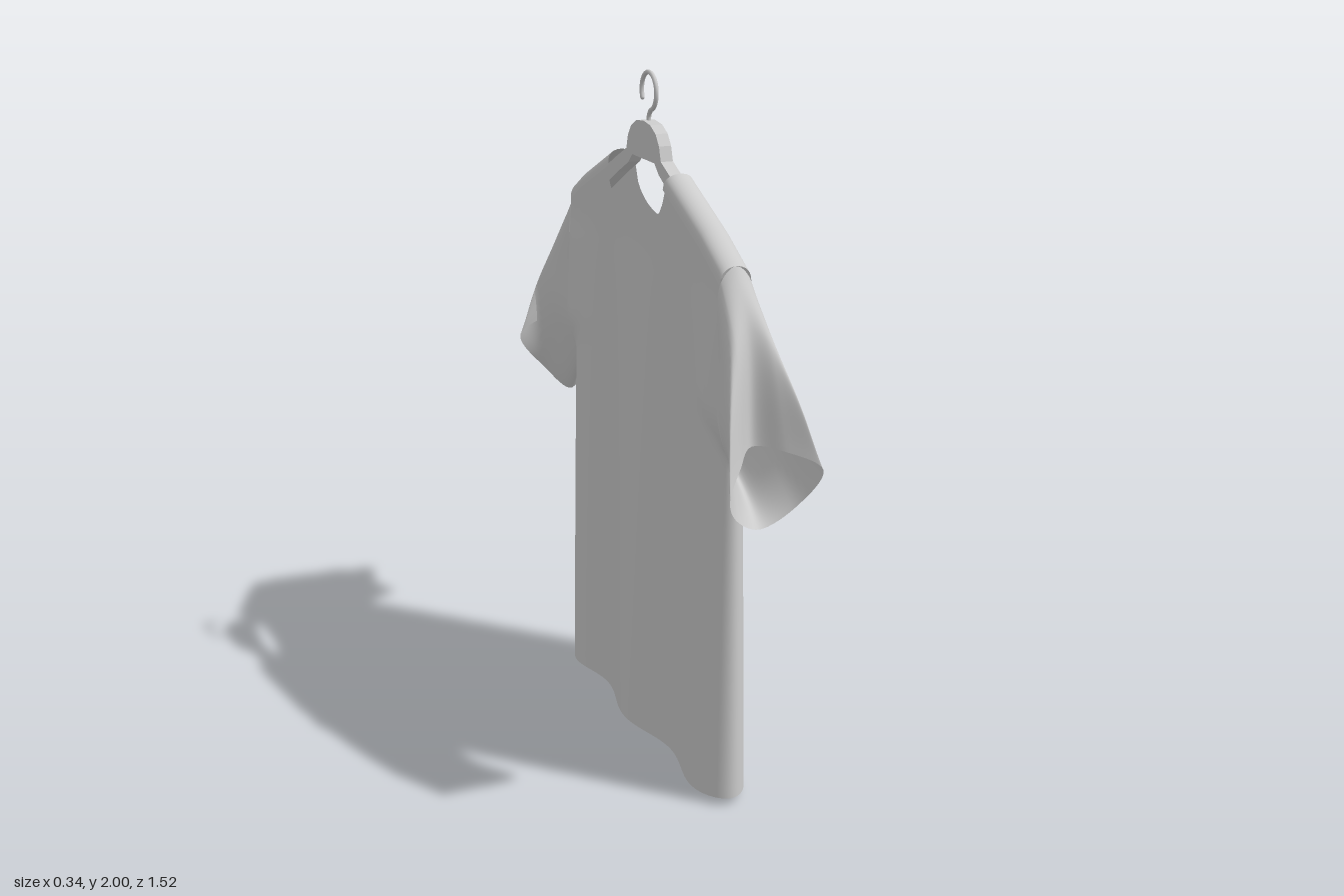
import * as THREE from 'three';
import { mergeGeometries, mergeVertices } from 'three/addons/utils/BufferGeometryUtils.js';

const { lerp, smoothstep, clamp } = THREE.MathUtils;
const ZC = -0.035;          // centre of neck and hanger
const MID = -0.015, HALF = 0.545; // centre and half width of the body
const ARMPIT = 1.04, ROLL = 0.05, NECK = 0.205;

const cloth = new THREE.MeshStandardMaterial({ color: 0xcccccc, side: THREE.DoubleSide });
const solid = new THREE.MeshStandardMaterial({ color: 0xcccccc });

// Surface from a rule fn(u, v) -> [x, y, z]
function grid(nu, nv, fn) {
  const pos = [], idx = [];
  for (let j = 0; j <= nv; j++)
    for (let i = 0; i <= nu; i++) pos.push(...fn(i / nu, j / nv));
  for (let j = 0; j < nv; j++)
    for (let i = 0; i < nu; i++) {
      const a = j * (nu + 1) + i, b = a + 1, c = a + nu + 1, d = c + 1;
      idx.push(a, b, d, a, d, c);
    }
  const g = new THREE.BufferGeometry();
  g.setAttribute('position', new THREE.Float32BufferAttribute(pos, 3));
  g.setIndex(idx);
  return g;
}

function smooth(geometry) {
  const g = mergeVertices(geometry, 1e-4);
  g.computeVertexNormals();
  return g;
}

function add(group, name, geometry, material) {
  const m = new THREE.Mesh(geometry, material);
  m.name = name;
  group.add(m);
}

// Shoulder ridge, falling away from the neck
function shoulderY(z) {
  const d = Math.abs(z - ZC);
  return d < 0.435 ? lerp(1.75, 1.65, (d - 0.215) / 0.22) : lerp(1.65, 1.585, (d - 0.435) / 0.115);
}

// Upper edge of the front and back panels, with the neckline scooped out
function panelTop(z) {
  const r = Math.abs(z - ZC) / NECK;
  if (r >= 1) return shoulderY(z) - ROLL;
  return 1.585 + 0.117 * (1 - Math.sqrt(1 - r * r));
}

// Front and back panels: slim at the shoulders, wavy at the hem
function panel(side) {
  return grid(96, 44, (u, v) => {
    const q = -side * Math.cos(Math.PI * u);
    const z0 = MID + HALF * q;
    const hem = 0.01 + 0.012 * q;
    const y = lerp(hem, panelTop(z0), v);
    const f = Math.pow(clamp((1.5 - y) / 1.5, 0, 1), 0.7);
    const wave = 0.064 + 0.022 * Math.cos(2 * Math.PI * (z0 + 0.03) / 0.48);
    const open = Math.sqrt(clamp((y - ARMPIT) / 0.14, 0, 1));
    const round = Math.sqrt(Math.max(1 - Math.pow(Math.abs(q), 8), open * open));
    const x = 0.035 * z0 * f + side * lerp(0.044, wave, f) * round;
    const z = z0 + (q < 0 ? 0.015 * f * q * q * (1 - v) : 0);
    return [x, y, z];
  });
}

// Rounded strip of cloth lying over one hanger arm
function shoulderRoll(dir) {
  const end = MID + dir * HALF;
  return grid(24, 14, (u, v) => {
    const a = Math.PI * v;
    const z = lerp(ZC + dir * (NECK - 0.006 + 0.015 * Math.sin(a)), end, u);
    return [0.044 * Math.cos(a), shoulderY(z) - ROLL + ROLL * Math.pow(Math.sin(a), 0.7), z];
  });
}

// Sleeve skinned through closed rings, from armhole to cuff
function sleeve(rings) {
  const loops = rings.map(r =>
    new THREE.CatmullRomCurve3(r.map(p => new THREE.Vector3(...p)), true, 'centripetal'));
  const columns = new Map();
  return smooth(grid(72, 26, (u, v) => {
    if (!columns.has(u))
      columns.set(u, new THREE.CatmullRomCurve3(loops.map(l => l.getPoint(u % 1))));
    return columns.get(u).getPoint(v).toArray();
  }));
}

const armhole = z => [
  [0, shoulderY(z), z], [0.043, 1.535, z], [0.044, 1.32, z], [0.036, 1.13, z],
  [0, ARMPIT, z], [-0.036, 1.13, z], [-0.044, 1.32, z], [-0.043, 1.535, z],
];

const frontRings = [
  armhole(MID + HALF),
  [[0, 1.43, 0.61], [0.05, 1.39, 0.64], [0.09, 1.27, 0.68], [0.06, 1.1, 0.63],
    [0, 0.99, 0.61], [-0.06, 1.1, 0.63], [-0.085, 1.25, 0.67], [-0.05, 1.38, 0.64]],
  [[0, 1.13, 0.64], [0.07, 1.125, 0.7], [0.14, 1.09, 0.765], [0.09, 0.98, 0.72],
    [0, 0.925, 0.7], [-0.07, 0.96, 0.715], [-0.11, 1.03, 0.745], [-0.06, 1.1, 0.7]],
];
const backRings = [
  armhole(MID - HALF),
  [[0, 1.43, -0.66], [0.06, 1.4, -0.675], [0.1, 1.32, -0.705], [0.06, 1.12, -0.65],
    [0, 0.97, -0.63], [-0.06, 1.1, -0.65], [-0.1, 1.27, -0.69], [-0.06, 1.38, -0.67]],
  [[0, 1.17, -0.7], [0.08, 1.195, -0.72], [0.165, 1.19, -0.757], [0.09, 1.09, -0.705],
    [0, 0.88, -0.705], [-0.08, 0.95, -0.745], [-0.17, 1.08, -0.72], [-0.08, 1.14, -0.705]],
];

// Flat hanger body: domed centre with two sloping arms
function hangerBody() {
  const half = [[0.05, 1.857], [0.088, 1.838], [0.112, 1.808], [0.125, 1.768],
    [0.2, 1.733], [0.44, 1.615], [0.51, 1.56], [0.5, 1.53], [0.42, 1.565],
    [0.2, 1.685], [0.11, 1.73], [0.08, 1.757]];
  const outline = [[0, 1.863], ...half, ...half.slice().reverse().map(([z, y]) => [-z, y])];
  const shape = new THREE.Shape(outline.map(([z, y]) => new THREE.Vector2(z + ZC, y)));
  const g = new THREE.ExtrudeGeometry(shape, { depth: 0.036, bevelEnabled: false });
  return g.translate(0, 0, -0.018).rotateY(-Math.PI / 2);
}

// Wire hook: short stem, then an open loop
function hangerHook() {
  const r = 0.052, cy = 1.942, pts = [new THREE.Vector3(0, 1.85, ZC), new THREE.Vector3(0, 1.875, ZC)];
  for (let i = 0; i <= 16; i++) {
    const a = 0.25 + (i / 16) * 4.9;
    pts.push(new THREE.Vector3(0, cy - r * Math.cos(a), ZC + r * Math.sin(a)));
  }
  return new THREE.TubeGeometry(new THREE.CatmullRomCurve3(pts), 72, 0.0065, 10);
}

export function createModel() {
  const model = new THREE.Group();
  model.name = 'shirtOnHanger';

  const shirt = new THREE.Group();
  shirt.name = 'shirt';
  add(shirt, 'shirtBody', smooth(mergeGeometries([panel(1), panel(-1)])), cloth);
  for (const dir of [1, -1])
    add(shirt, dir > 0 ? 'frontShoulder' : 'backShoulder', smooth(shoulderRoll(dir)), cloth);
  add(shirt, 'frontSleeve', sleeve(frontRings), cloth);
  add(shirt, 'backSleeve', sleeve(backRings), cloth);

  const hanger = new THREE.Group();
  hanger.name = 'hanger';
  add(hanger, 'hangerBody', hangerBody(), solid);
  add(hanger, 'hangerHook', hangerHook(), solid);
  const tip = new THREE.SphereGeometry(0.0065, 10, 8);
  tip.translate(0, 1.942 - 0.052 * Math.cos(5.15), ZC + 0.052 * Math.sin(5.15));
  add(hanger, 'hookTip', tip, solid);

  model.add(shirt, hanger);
  return model;
}
